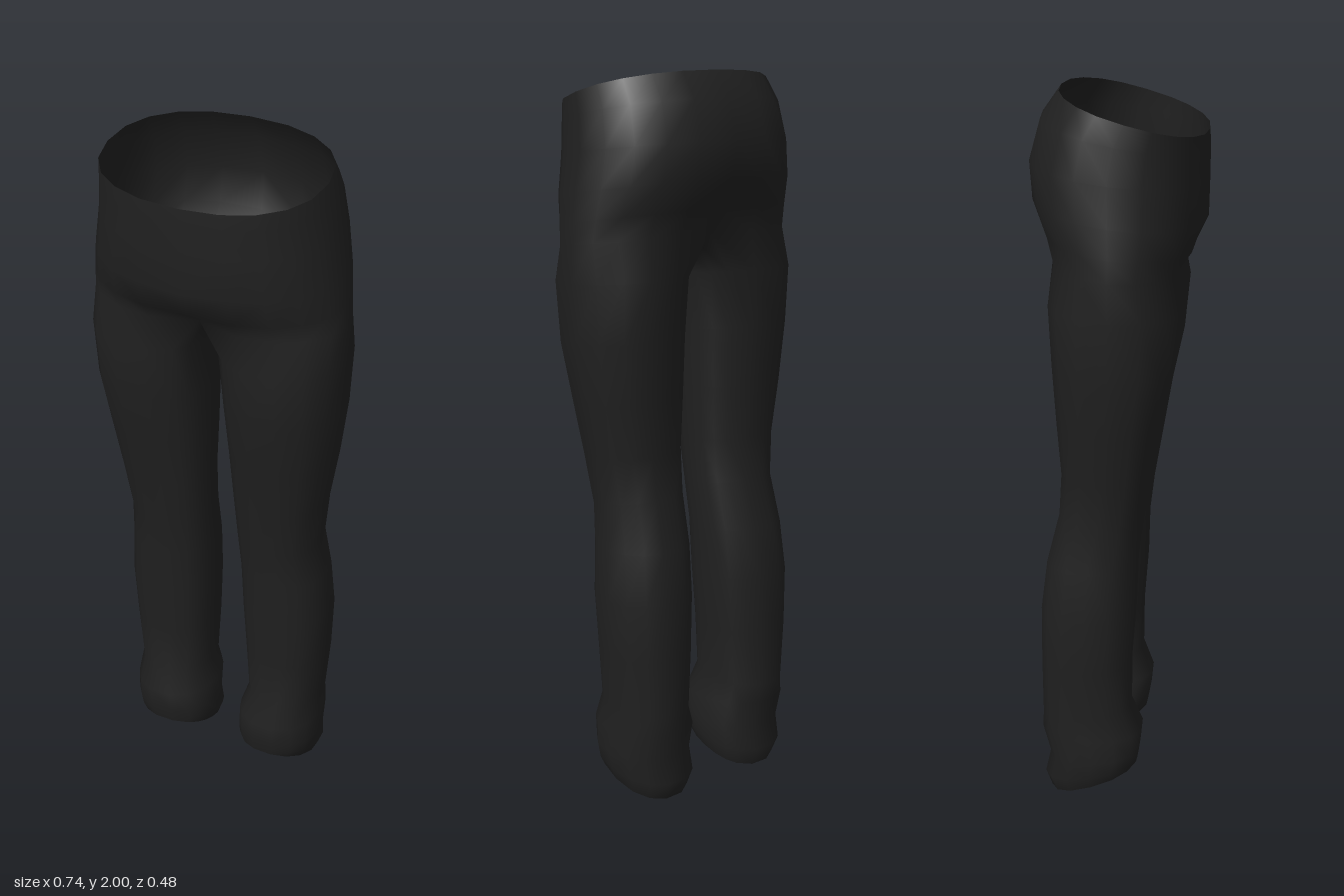
import * as THREE from 'three';
import { mergeVertices } from 'three/addons/utils/BufferGeometryUtils.js';

const ARC = 10;    // segments from the front seam round the outside to the back seam
const INNER = 5;   // points along the inside of the leg

// Hip rings: y front, y back, half width, z front, z back, tuck front, tuck back
const HIPS = [
  [1.89, 2.0, 0.315, 0.24, -0.155, 0, 0],
  [1.85, 1.93, 0.325, 0.242, -0.205, 0, 0],
  [1.77, 1.82, 0.335, 0.242, -0.236, 0, 0],
  [1.66, 1.72, 0.35, 0.24, -0.23, 0, 0.01],
  [1.585, 1.64, 0.36, 0.215, -0.2, 0.01, 0.025],
  [1.54, 1.57, 0.366, 0.192, -0.18, 0.06, 0.045],
];

// Leg rings: y front, y back, x inside, x outside, z front, z back
const LEG = [
  [1.44, 1.46, 0.018, 0.368, 0.182, -0.168],
  [1.28, 1.3, 0.03, 0.36, 0.167, -0.16],
  [1.13, 1.13, 0.037, 0.338, 0.135, -0.15],
  [0.98, 0.98, 0.045, 0.312, 0.11, -0.14],
  [0.83, 0.86, 0.05, 0.295, 0.085, -0.148],
  [0.72, 0.72, 0.053, 0.306, 0.072, -0.183],
  [0.58, 0.58, 0.057, 0.315, 0.068, -0.2],
  [0.42, 0.42, 0.065, 0.308, 0.056, -0.201],
  [0.28, 0.25, 0.077, 0.293, 0.055, -0.2],
  [0.2, 0.2, 0.056, 0.3, 0.086, -0.203],
  [0.14, 0.12, 0.053, 0.3, 0.08, -0.182],
  [0.11, 0.05, 0.052, 0.297, 0.075, -0.197],
  [0.09, 0.0, 0.065, 0.28, 0.07, -0.18],
];

// Crotch seam between the legs, back to front: y, z
const SEAM = [[1.53, -0.1], [1.508, -0.05], [1.5, 0], [1.505, 0.05], [1.52, 0.095]];

// Slightly squared sine and cosine
const soft = (v) => (Math.abs(v) < 1e-9 ? 0 : Math.sign(v) * Math.abs(v) ** 0.88);

function hipRing([yf, yb, w, zf, zb, tf, tb]) {
  return Array.from({ length: ARC + 1 }, (_, k) => {
    const t = (k / ARC) * Math.PI;
    const c = soft(Math.cos(t));
    const x = k === ARC ? 0 : w * soft(Math.sin(t));
    const tuck = Math.max(0, 1 - x / 0.16);
    const z = (zf + zb) / 2 + ((zf - zb) / 2) * c + tuck * (c > 0 ? -tf : tb);
    return [x, yb + (yf - yb) * (c + 1) / 2, z];
  });
}

function legRing([yf, yb, xi, xo, zf, zb]) {
  const start = -0.7, end = Math.PI + 0.7;
  return Array.from({ length: ARC + 1 + INNER }, (_, k) => {
    const a = k <= ARC
      ? start + (end - start) * k / ARC
      : end + (2 * Math.PI + start - end) * (k - ARC) / (INNER + 1);
    const s = soft(Math.sin(a)), c = soft(Math.cos(a));
    return [
      (xi + xo) / 2 + ((xo - xi) / 2) * s,
      yb + (yf - yb) * (c + 1) / 2,
      (zf + zb) / 2 + ((zf - zb) / 2) * c,
    ];
  });
}

// Skin a list of rings running downwards, on one side of the body
function loft(rings, closed, side, out) {
  const n = rings[0].length;
  for (let i = 0; i < rings.length - 1; i++) {
    for (let k = 0; k < (closed ? n : n - 1); k++) {
      const j = (k + 1) % n;
      const a = rings[i][k], b = rings[i][j], c = rings[i + 1][k], d = rings[i + 1][j];
      const corners = side > 0 ? [a, c, b, b, c, d] : [a, b, c, b, d, c];
      for (const p of corners) out.push(side * p[0], p[1], p[2]);
    }
  }
}

export function createModel() {
  const group = new THREE.Group();
  group.name = 'trousers';

  const cloth = new THREE.MeshStandardMaterial({ color: 0x202020, side: THREE.DoubleSide });
  cloth.name = 'blackCloth';

  // Hips end on the ring that, closed by the crotch seam, starts each leg
  const hips = HIPS.map(hipRing);
  const legTop = [...hips[hips.length - 1], ...SEAM.map(([y, z]) => [0, y, z])];
  const legs = [legTop, ...LEG.map(legRing)];

  // Both halves share their centre seam, so the cloth shades as one surface
  const points = [];
  for (const side of [1, -1]) {
    loft(hips, false, side, points);
    loft(legs, true, side, points);
  }
  let geometry = new THREE.BufferGeometry();
  geometry.setAttribute('position', new THREE.Float32BufferAttribute(points, 3));
  geometry = mergeVertices(geometry, 1e-4);
  geometry.computeVertexNormals();

  const mesh = new THREE.Mesh(geometry, cloth);
  mesh.name = 'hipsAndLegs';
  group.add(mesh);
  return group;
}
